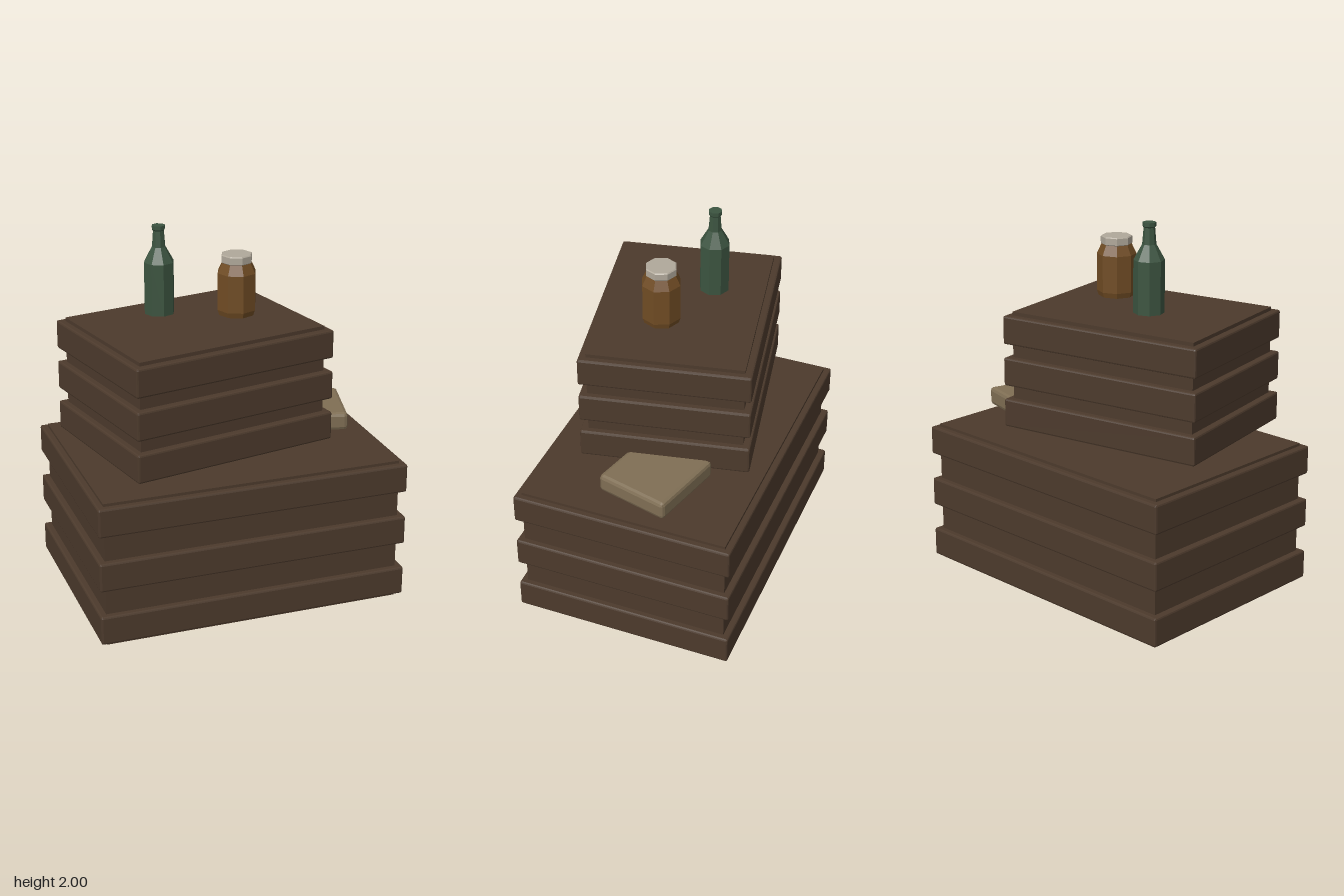
import * as THREE from 'three';
import { RoundedBoxGeometry } from 'three/addons/geometries/RoundedBoxGeometry.js';

const flat = (name, color) => {
  const m = new THREE.MeshStandardMaterial({ color, flatShading: true });
  m.name = name;
  return m;
};

export function createModel() {
  const wood = flat('dark wood', 0x4c3a2c);
  const greenGlass = flat('green glass', 0x3c5440);
  const amberGlass = flat('amber glass', 0x704c24);
  const lidMetal = flat('pale lid', 0xb0a89a);
  const cloth = flat('tan cloth', 0x7f6e54);

  const model = new THREE.Group();
  model.name = 'crateStack';

  const add = (parent, name, geometry, material, x = 0, y = 0, z = 0) => {
    const mesh = new THREE.Mesh(geometry, material);
    mesh.name = name;
    mesh.position.set(x, y, z);
    parent.add(mesh);
    return mesh;
  };

  // A crate: plain core box wrapped by three slightly bevelled slat bands
  const crate = (name, core, band, bandCentres) => {
    const group = new THREE.Group();
    group.name = name;
    add(group, 'crateCore', new THREE.BoxGeometry(...core), wood, 0, core[1] / 2, 0);
    for (const y of bandCentres) {
      add(group, 'slatBand', new RoundedBoxGeometry(...band, 1, 0.01), wood, 0, y, 0);
    }
    model.add(group);
    return group;
  };

  crate('lowerCrate', [1.61, 0.79, 1.12], [1.68, 0.156, 1.19], [0.098, 0.397, 0.697]);

  const upper = crate('upperCrate', [1.08, 0.635, 0.81], [1.152, 0.152, 0.888], [0.09, 0.315, 0.54]);
  upper.position.set(-0.15, 0.865, 0.038);
  upper.rotation.y = 0.2;

  // Folded cloth bundle, partly under the upper crate
  const bundle = add(model, 'clothBundle', new RoundedBoxGeometry(0.433, 0.1, 0.405, 1, 0.02),
    cloth, 0.52, 0.88, -0.073);
  bundle.rotation.y = -0.25;

  // Eight-sided turned parts from [radius, height] profiles
  const turned = (name, profile, material, x, y, z) => add(model, name,
    new THREE.LatheGeometry(profile.map(([r, h]) => new THREE.Vector2(r, h)), 8), material, x, y, z);

  turned('bottle', [
    [0, 0], [0.08, 0], [0.08, 0.275], [0.036, 0.355], [0.029, 0.44],
    [0.035, 0.447], [0.035, 0.467], [0, 0.467],
  ], greenGlass, -0.3, 1.533, -0.075);

  turned('jar', [
    [0, 0], [0.095, 0], [0.104, 0.028], [0.104, 0.225], [0.078, 0.28], [0, 0.28],
  ], amberGlass, 0.072, 1.533, 0.073);

  turned('jarLid', [
    [0, 0], [0.076, 0], [0.083, 0.007], [0.083, 0.042], [0.078, 0.047], [0, 0.047],
  ], lidMetal, 0.072, 1.807, 0.073);

  return model;
}
